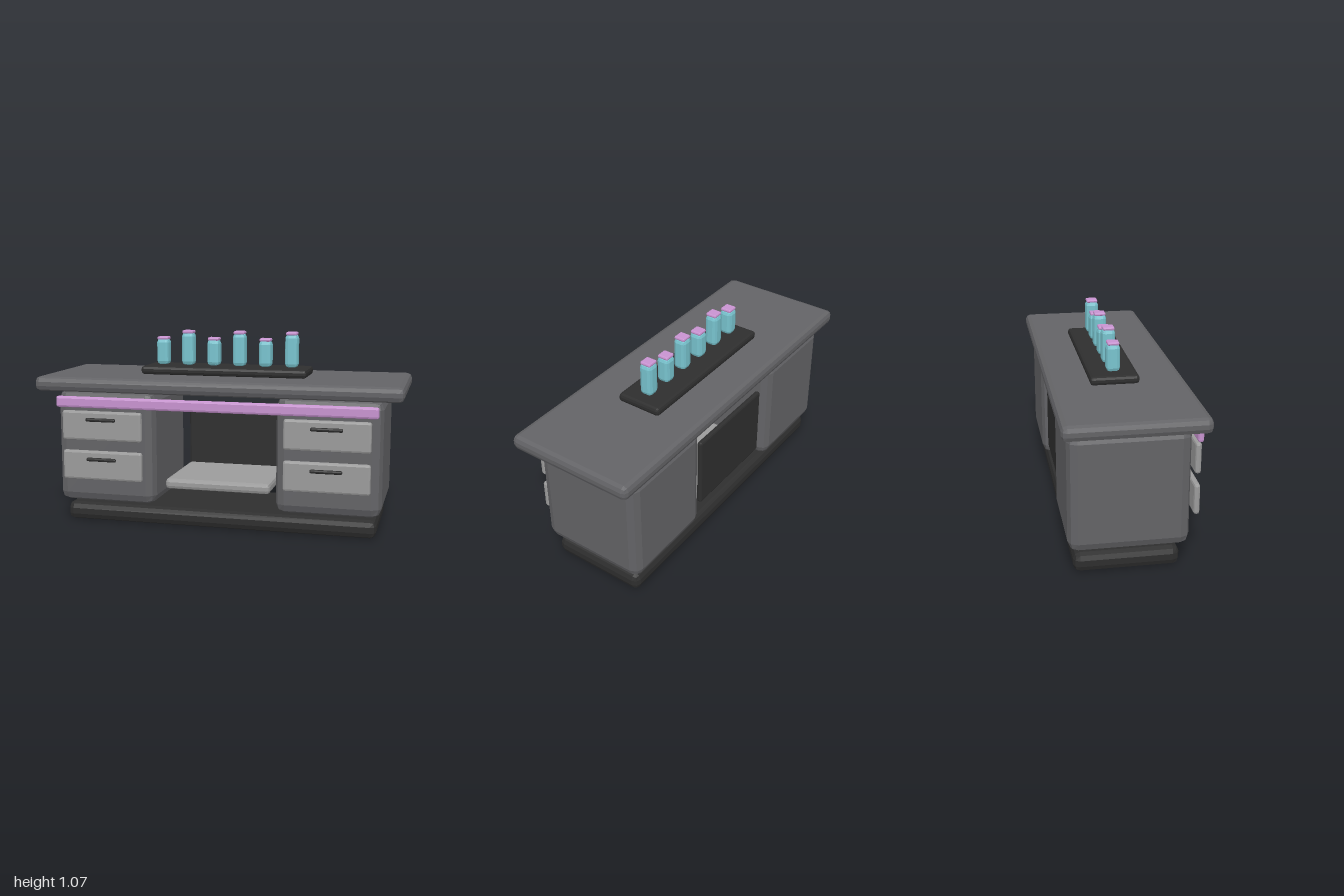
import * as THREE from 'three';
import { RoundedBoxGeometry } from 'three/addons/geometries/RoundedBoxGeometry.js';

function material(name, color) {
  const m = new THREE.MeshStandardMaterial({ color });
  m.name = name;
  m.flatShading = true;
  return m;
}

export function createModel() {
  const grey = material('counterGrey', 0x636366);
  const black = material('charcoal', 0x2e2e2e);
  const silver = material('drawerSilver', 0x9b9b9b);
  const pink = material('orchidTrim', 0xc893d0);
  const cyan = material('bottleTeal', 0x78c3ce);

  const model = new THREE.Group();
  model.name = 'counterDesk';

  // Box with two-step bevels, given by its [min, max] extents
  function block(name, mat, [x0, x1], [y0, y1], [z0, z1], bevel, parent = model) {
    const geo = new RoundedBoxGeometry(x1 - x0, y1 - y0, z1 - z0, 1, bevel);
    const mesh = new THREE.Mesh(geo, mat);
    mesh.name = name;
    mesh.position.set((x0 + x1) / 2, (y0 + y1) / 2, (z0 + z1) / 2);
    parent.add(mesh);
    return mesh;
  }

  // Plinth and worktop
  block('plinth', black, [-0.873, 0.867], [0, 0.1], [-0.292, 0.24], 0.034);
  block('worktop', grey, [-1, 1], [0.747, 0.826], [-0.356, 0.356], 0.028);

  // Two drawer pedestals
  for (const side of [-1, 1]) {
    const pedestal = new THREE.Group();
    pedestal.name = side < 0 ? 'rightPedestal' : 'leftPedestal';
    pedestal.position.x = side * 0.616 - 0.003;
    model.add(pedestal);
    block('cabinet', grey, [-0.281, 0.281], [0.122, 0.745], [-0.32, 0.285], 0.05, pedestal);
    for (const y of [0.562, 0.342]) {
      block('drawerFront', silver, [-0.228, 0.228], [y - 0.081, y + 0.081], [0.31, 0.341], 0.012, pedestal);
      block('drawerHandle', black, [-0.085, 0.085], [y + 0.026, y + 0.046], [0.341, 0.36], 0.008, pedestal);
    }
  }

  // Trim strip along the front
  block('frontTrim', pink, [-0.882, 0.876], [0.66, 0.721], [0.311, 0.341], 0.012);

  // Centre bay: back panel and low shelf
  block('backPanel', black, [-0.296, 0.291], [0.2, 0.611], [-0.295, -0.265], 0.012);
  block('shelf', silver, [-0.296, 0.291], [0.205, 0.262], [-0.27, 0.22], 0.018);

  // Display tray with alternating short and tall bottles
  block('tray', black, [-0.468, 0.464], [0.826, 0.872], [-0.146, 0.108], 0.016);
  for (let i = 0; i < 6; i++) {
    const top = i % 2 ? 1.054 : 1.017;
    const bottle = new THREE.Group();
    bottle.name = 'bottle' + (i + 1);
    bottle.position.set(-0.37 + i * 0.147, 0, -0.0175);
    model.add(bottle);
    block('bottleBody', cyan, [-0.036, 0.036], [0.874, top], [-0.036, 0.036], 0.02, bottle);
    block('bottleCap', pink, [-0.031, 0.031], [top - 0.004, top + 0.014], [-0.031, 0.031], 0.007, bottle);
  }

  return model;
}
